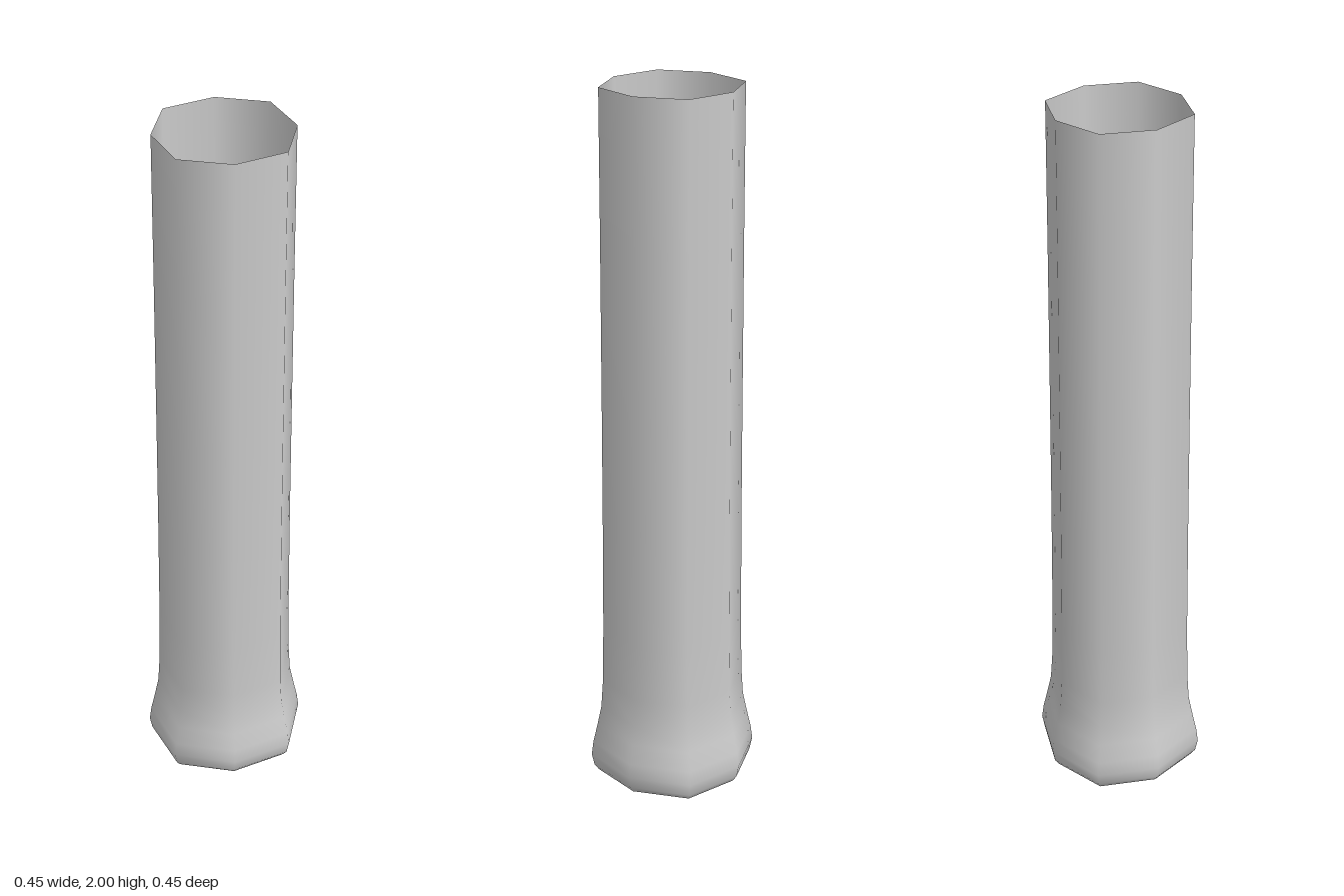
import * as THREE from 'three';

// Radius and height pairs, from the centre of the base to the open rim
const PROFILE = [
  [0, 0], [0.1, 0.004], [0.18, 0.01], [0.205, 0.018], [0.217, 0.035],
  [0.224, 0.07], [0.219, 0.11], [0.207, 0.165], [0.196, 0.22], [0.191, 0.3],
  [0.188, 0.47], [0.186, 0.8], [0.185, 1.12], [0.184, 1.6], [0.184, 2],
];
const DIAGONAL = 1.06; // the four diagonal corners stand slightly further out

export function createModel() {
  const group = new THREE.Group();

  // Eight-sided open tube with a flared, closed foot
  const points = PROFILE.map(([r, y]) => new THREE.Vector2(r, y));
  const geometry = new THREE.LatheGeometry(points, 8);
  const pos = geometry.attributes.position;
  for (let i = 0; i < pos.count; i++) {
    const column = Math.floor(i / points.length);
    const s = column % 2 ? DIAGONAL : 1;
    pos.setXYZ(i, pos.getX(i) * s, pos.getY(i), pos.getZ(i) * s);
  }

  const material = new THREE.MeshStandardMaterial({ color: 0xcccccc, side: THREE.DoubleSide });
  const tube = new THREE.Mesh(geometry, material);
  tube.name = 'flaredTube';
  group.add(tube);
  return group;
}
